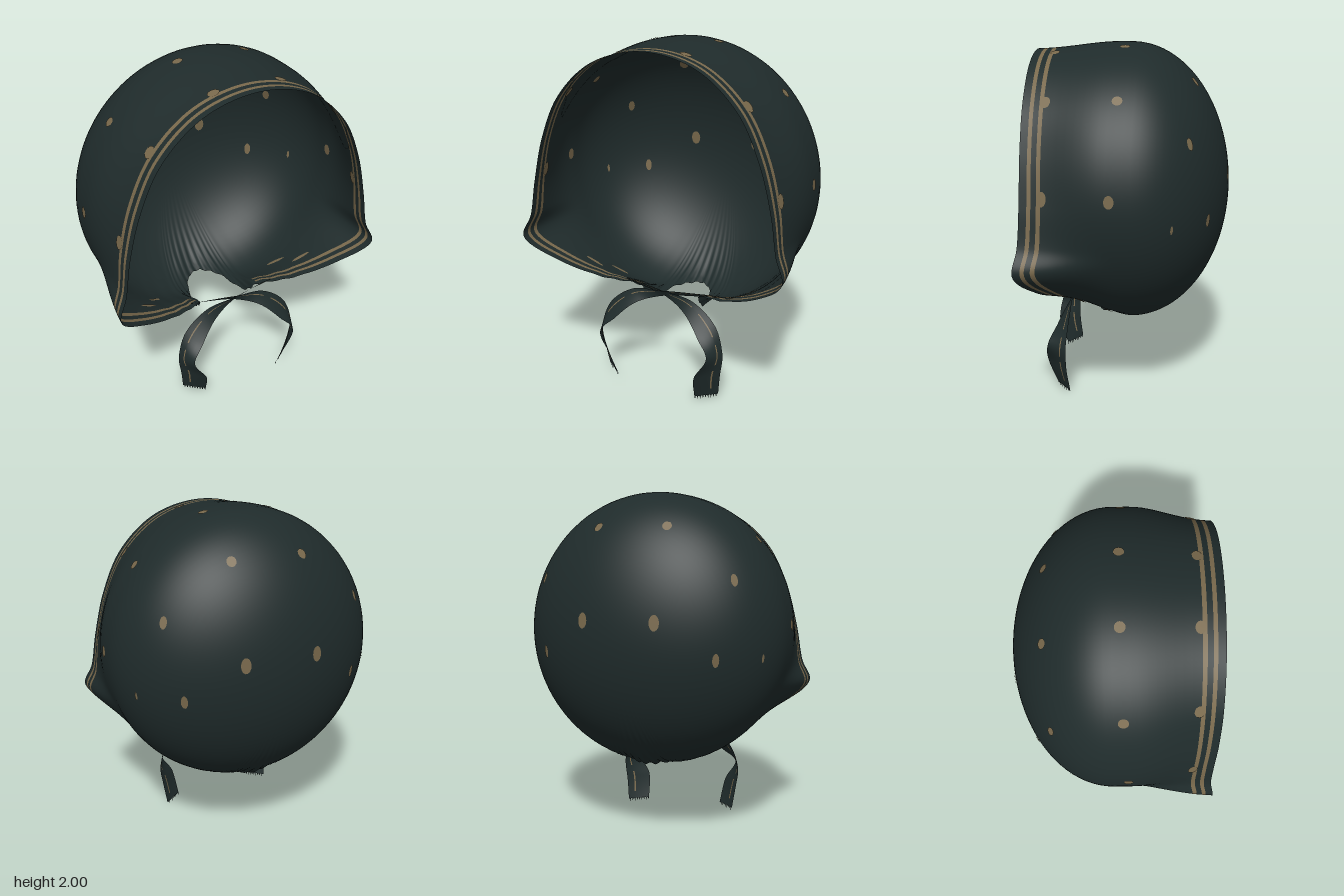
import * as THREE from 'three';

const V = (x, y, z) => new THREE.Vector3(x, y, z);
const cloth = new THREE.MeshStandardMaterial({ color: 0x1f2b2b, side: THREE.DoubleSide });
cloth.name = 'dark cloth';
const tan = new THREE.MeshStandardMaterial({ color: 0x78684b, side: THREE.DoubleSide });
tan.name = 'tan print';

// Open edge of the bonnet, from the top of the face rim down to the nape
const half = [
  [0, 1.96, .53], [.3, 1.89, .53], [.52, 1.7, .53], [.64, 1.46, .53], [.71, 1.2, .53], [.745, 1.0, .54],
  [.79, .87, .56], [.62, .72, .47], [.38, .62, .37], [.2, .57, .27], [.17, .46, .16], [.1, .44, -.1], [0, .44, -.18],
].map(p => V(...p));
const mirrored = half.slice(1, -1).reverse().map(p => V(-p.x, p.y, p.z));
const edge = new THREE.CatmullRomCurve3([...half, ...mirrored], true);
const COUNT = half.length + mirrored.length, NECK = 9;
const isNeck = u => u * COUNT > NECK && u * COUNT < COUNT - NECK;

const centre = V(0, 1.2, 0);
// Crown: half ellipsoid at the back, straight tube toward the face
function crownRadius(d) {
  const height = d.y > 0 ? .8 : .785;
  const q = (d.x / .78) ** 2 + (d.y / height) ** 2 + (d.z < 0 ? (d.z / .56) ** 2 : 0);
  return 1 / Math.sqrt(q);
}

// Point on the cloth: u runs round the open edge, v from the edge to the back of the crown
function surface(u, v) {
  const b = edge.getPoint(((u % 1) + 1) % 1).sub(centre);
  const rb = b.length(), db = b.clone().divideScalar(rb);
  const th = Math.acos(-db.z);
  const d = db.clone().multiplyScalar(Math.sin((1 - v) * th) / Math.sin(th));
  d.z -= Math.sin(v * th) / Math.sin(th);
  d.normalize();
  const w = 1 - THREE.MathUtils.smoothstep(v, -.02, .24);
  const w0 = 1 - THREE.MathUtils.smoothstep(0, -.02, .24);
  let r = crownRadius(d) * (1 + (rb / crownRadius(db) - 1) * w / w0);
  // gathers around the neck
  const gather = THREE.MathUtils.smoothstep(-b.y, .5, .7);
  r *= 1 + .009 * gather * (1 - v) ** 5 * Math.cos(u * COUNT * Math.PI * 4);
  return d.multiplyScalar(r).add(centre);
}

// Builds a sheet from rows of points, the last of which may be one point; pick(i, j) says which cells are tan
function sheet(name, rows, closed, pick) {
  const n = rows[0].length, cells = closed ? n : n - 1;
  const pos = rows.flat().flatMap(p => [p.x, p.y, p.z]);
  const lists = [[], []];
  for (let i = 0; i < rows.length - 1; i++) {
    const toPole = rows[i + 1].length === 1;
    for (let j = 0; j < cells; j++) {
      const a = i * n + j, b = i * n + (j + 1) % n;
      const list = lists[pick(i, j) ? 1 : 0];
      if (toPole) list.push(a, b, (i + 1) * n);
      else list.push(a, b, b + n, a, b + n, a + n);
    }
  }
  const g = new THREE.BufferGeometry();
  g.setAttribute('position', new THREE.Float32BufferAttribute(pos, 3));
  g.setIndex([...lists[0], ...lists[1]]);
  g.addGroup(0, lists[0].length, 0);
  g.addGroup(lists[0].length, lists[1].length, 1);
  g.computeVertexNormals();
  const m = new THREE.Mesh(g, [cloth, tan]);
  m.name = name;
  return m;
}

// Bonnet with two tan stripes along the face rim
function makeBonnet() {
  const SEG = COUNT * 10, bands = [0, .04, .062, .093, .118], REST = 40;
  const speed = [], rows = [];
  for (let j = 0; j < SEG; j++) speed.push(surface(j / SEG, .02).distanceTo(surface(j / SEG, 0)) / .02);
  for (let i = 0; i < bands.length + REST - 1; i++) {
    rows.push(speed.map((s, j) => {
      const last = bands[4] / s;
      return surface(j / SEG, i < bands.length ? bands[i] / s : last + (1 - last) * (i - 4) / REST);
    }));
  }
  rows.push([surface(0, 1)]);
  return sheet('hood', rows, true, (i, j) => (i === 1 || i === 3) && !isNeck((j + .5) / SEG));
}

// Printed spots: nearest place on the cloth, one thin plate on each side
function makeSpots() {
  const group = new THREE.Group();
  group.name = 'spots';
  const samples = [];
  for (let i = 0; i < 240; i++) {
    for (let j = 1; j < 70; j++) samples.push([i / 240, j / 72, surface(i / 240, j / 72)]);
  }
  // x, y, z, half width, half height
  const spots = [
    [.2, 1.29, -.54, .028, .043], [.21, 1.79, -.35, .026, .03], [.49, 1.1, -.42, .019, .037],
    [.56, 1.52, -.31, .02, .034], [.7, 1.1, -.24, .008, .024], [.2, 1.98, .04, .028, .028],
    [.59, 1.74, .04, .027, .027], [.78, 1.25, .08, .026, .034], [.18, 1.96, .41, .032, .026],
    [.54, 1.72, .41, .028, .034], [.73, 1.26, .41, .026, .04], [.43, .55, .12, .012, .06], [.53, .62, .26, .012, .06],
  ];
  for (const [x, y, z, w, h] of spots) {
    for (const s of [1, -1]) {
      const target = V(x * s, y, z);
      let best = samples[0], dist = Infinity;
      for (const q of samples) {
        const d = q[2].distanceToSquared(target);
        if (d < dist) { dist = d; best = q; }
      }
      const [u, v, p] = best, e = .004;
      const du = surface(u + e, v).sub(surface(u - e, v));
      const dv = surface(u, v + e).sub(surface(u, v - e));
      const n = du.cross(dv).normalize();
      const up = Math.abs(n.y) > .9 ? V(0, 0, 1) : V(0, 1, 0);
      const right = up.cross(n).normalize();
      const basis = new THREE.Matrix4().makeBasis(right, n.clone().cross(right), n);
      for (const side of [1, -1]) {
        const m = new THREE.Mesh(new THREE.CircleGeometry(1, 14), tan);
        m.name = 'spot';
        m.scale.set(w, h, 1);
        m.quaternion.setFromRotationMatrix(basis);
        m.position.copy(p).addScaledVector(n, .004 * side);
        group.add(m);
      }
    }
  }
  return group;
}

// Tie: ribbon crossing under the chin and hanging on the other side, with a frayed end
function makeTie(side, dz, lift) {
  const group = new THREE.Group();
  group.name = side > 0 ? 'leftTie' : 'rightTie';
  // centre line and half-width vector
  const path = [
    [-.26, .595, .28, 0, .015, .02], [0, .57, .32, .005, .02, .015], [.17, .53, .35, .02, .033, -.015],
    [.3, .42, .385, .035, .03, -.04], [.365, .3, .415, .025, 0, -.055], [.325, .17, .42, .055, 0, -.06],
    [.305, .02, .385, .055, 0, -.043],
  ];
  const mid = new THREE.CatmullRomCurve3(path.map(p => V(p[0] * side, p[1], p[2] + dz)));
  const wide = new THREE.CatmullRomCurve3(path.map(p => V(p[3] * side, p[4], p[5])));
  const at = (t, k) => {
    const p = mid.getPoint(t).addScaledVector(wide.getPoint(t), k);
    p.y += lift * t;
    return p;
  };
  const cols = [-1, -.5, 0, .3, .42, .75, 1], rows = [];
  for (let i = 0; i <= 60; i++) rows.push(cols.map(k => at(i / 60, k)));
  group.add(sheet('ribbon', rows, false, (i, j) => j === 3 && i % 12 < 9));
  // fringe threads
  const pos = [];
  for (let i = 0; i < 9; i++) {
    const a = at(1, -1 + i * 2 / 9), b = at(1, -1 + (i + .5) * 2 / 9);
    const tip = a.clone().lerp(b, .5);
    tip.y -= .02;
    for (const p of [a, b, tip]) pos.push(p.x, p.y, p.z);
  }
  const g = new THREE.BufferGeometry();
  g.setAttribute('position', new THREE.Float32BufferAttribute(pos, 3));
  g.computeVertexNormals();
  const fringe = new THREE.Mesh(g, cloth);
  fringe.name = 'fringe';
  group.add(fringe);
  return group;
}

export function createModel() {
  const model = new THREE.Group();
  model.name = 'bonnet';
  model.add(makeBonnet(), makeSpots(), makeTie(1, 0, 0), makeTie(-1, .012, .03));
  return model;
}
